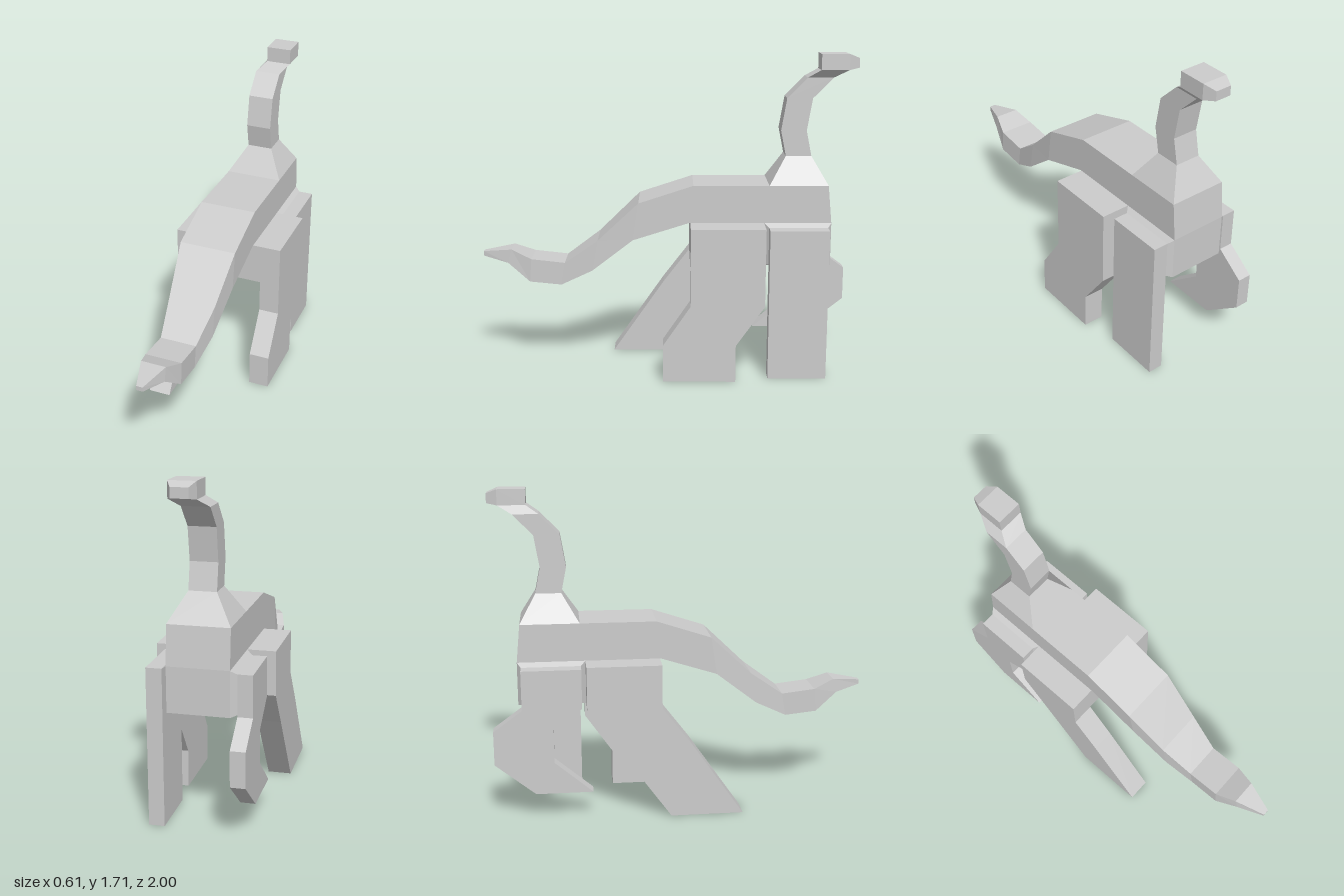
import * as THREE from 'three';

const material = new THREE.MeshStandardMaterial({ color: 0xcccccc, flatShading: true });

function add(group, name, geometry) {
  const mesh = new THREE.Mesh(geometry, material);
  mesh.name = name;
  group.add(mesh);
}

// Skin a row of rings (counter-clockwise about the travel direction) and cap both ends
function loft(rings) {
  const pos = [];
  const quad = (a, b, c, d) => pos.push(...a, ...b, ...c, ...a, ...c, ...d);
  for (let r = 0; r < rings.length - 1; r++) {
    const a = rings[r], b = rings[r + 1];
    for (let i = 0; i < 4; i++) {
      const j = (i + 1) % 4;
      quad(a[i], a[j], b[j], b[i]);
    }
  }
  quad(...[...rings[0]].reverse());
  quad(...rings[rings.length - 1]);
  const g = new THREE.BufferGeometry();
  g.setAttribute('position', new THREE.Float32BufferAttribute(pos, 3));
  g.computeVertexNormals();
  return g;
}

// Four-cornered ring between x0 and x1, through two (z, y) points
const ring = (x0, x1, [za, ya], [zb, yb]) =>
  [[x0, ya, za], [x1, ya, za], [x1, yb, zb], [x0, yb, zb]];

// Slab with a (z, y) outline, between x0 and x1
function slab(x0, x1, outline) {
  const shape = new THREE.Shape(outline.map(([z, y]) => new THREE.Vector2(z, y)));
  const g = new THREE.ExtrudeGeometry(shape, { depth: x1 - x0, bevelEnabled: false });
  return g.rotateY(-Math.PI / 2).translate(x1, 0, 0);
}

const block = (x0, x1, z0, z1, y0, y1) =>
  slab(x0, x1, [[z0, y0], [z1, y0], [z1, y1], [z0, y1]]);

export function createModel() {
  const model = new THREE.Group();
  model.name = 'longNeckedDinosaur';

  // Trunk running into the tail
  add(model, 'bodyAndTail', loft([
    ring(-0.165, 0.145, [-0.87, 0.83], [-0.85, 1.03]),
    ring(-0.165, 0.145, [-0.515, 0.83], [-0.54, 1.03]),
    ring(-0.165, 0.145, [-0.12, 0.83], [-0.14, 1.03]),
    ring(-0.165, 0.145, [0.18, 0.735], [0.15, 0.935]),
    ring(-0.137, 0.12, [0.40, 0.56], [0.37, 0.725]),
    ring(-0.107, 0.09, [0.57, 0.473], [0.55, 0.595]),
    ring(-0.107, 0.09, [0.74, 0.49], [0.73, 0.615]),
    ring(-0.077, 0.057, [0.86, 0.585], [0.84, 0.66]),
    ring(-0.027, 0.007, [1.0, 0.613], [1.0, 0.638]),
  ]));

  // Neck rising from the shoulders
  add(model, 'neck', loft([
    ring(-0.165, 0.145, [-0.54, 1.03], [-0.85, 1.03]),
    ring(-0.078, 0.06, [-0.63, 1.175], [-0.765, 1.175]),
    ring(-0.078, 0.06, [-0.602, 1.31], [-0.737, 1.31]),
    ring(-0.078, 0.06, [-0.63, 1.48], [-0.765, 1.48]),
    ring(-0.078, 0.06, [-0.735, 1.588], [-0.87, 1.588]),
    ring(-0.037, 0.098, [-0.80, 1.63], [-0.945, 1.63]),
  ]));

  // Head with a tapered snout
  add(model, 'head', loft([
    ring(0.098, -0.037, [-0.80, 1.63], [-0.80, 1.712]),
    ring(0.098, -0.037, [-0.945, 1.63], [-0.945, 1.712]),
    ring(0.07, -0.015, [-1.0, 1.64], [-1.0, 1.69]),
  ]));

  add(model, 'chest', block(-0.165, 0.145, -0.87, -0.515, 0.6, 0.83));
  add(model, 'hips', block(-0.31, 0.302, -0.515, -0.125, 0.6, 0.83));

  // Shoulder bevels joining the chest to the front legs
  const side = (x, z0, z1, y0, y1) => [[x, y0, z0], [x, y1, z0], [x, y1, z1], [x, y0, z1]];
  for (const [name, inner, outer] of [['leftShoulder', 0.145, 0.172], ['rightShoulder', -0.165, -0.195]]) {
    const rings = [side(inner, -0.87, -0.515, 0.6, 0.83), side(outer, -0.85, -0.54, 0.61, 0.81)];
    add(model, name, loft(outer > 0 ? rings : rings.map((r) => r.reverse())));
  }

  // Front legs: one standing, one lifted and folded back
  add(model, 'leftFrontLeg', block(0.172, 0.252, -0.85, -0.54, 0, 0.81));
  add(model, 'rightFrontLeg', slab(-0.27, -0.195, [
    [-0.54, 0.81], [-0.85, 0.81], [-0.85, 0.6], [-1.0, 0.49], [-1.0, 0.31],
    [-0.79, 0.14], [-0.49, 0.14], [-0.69, 0.31], [-0.69, 0.49], [-0.54, 0.6],
  ]));

  // Hind legs: one stepping, one stretched out behind
  add(model, 'leftHindLeg', slab(0.19, 0.302, [
    [-0.515, 0.6], [-0.515, 0.415], [-0.365, 0.2], [-0.365, 0],
    [0.02, 0], [0.02, 0.2], [-0.125, 0.415], [-0.125, 0.6],
  ]));
  add(model, 'rightHindLeg', slab(-0.31, -0.187, [
    [-0.515, 0.6], [-0.375, 0.41], [-0.08, 0], [0.303, 0], [0.02, 0.41], [-0.125, 0.6],
  ]));

  return model;
}
